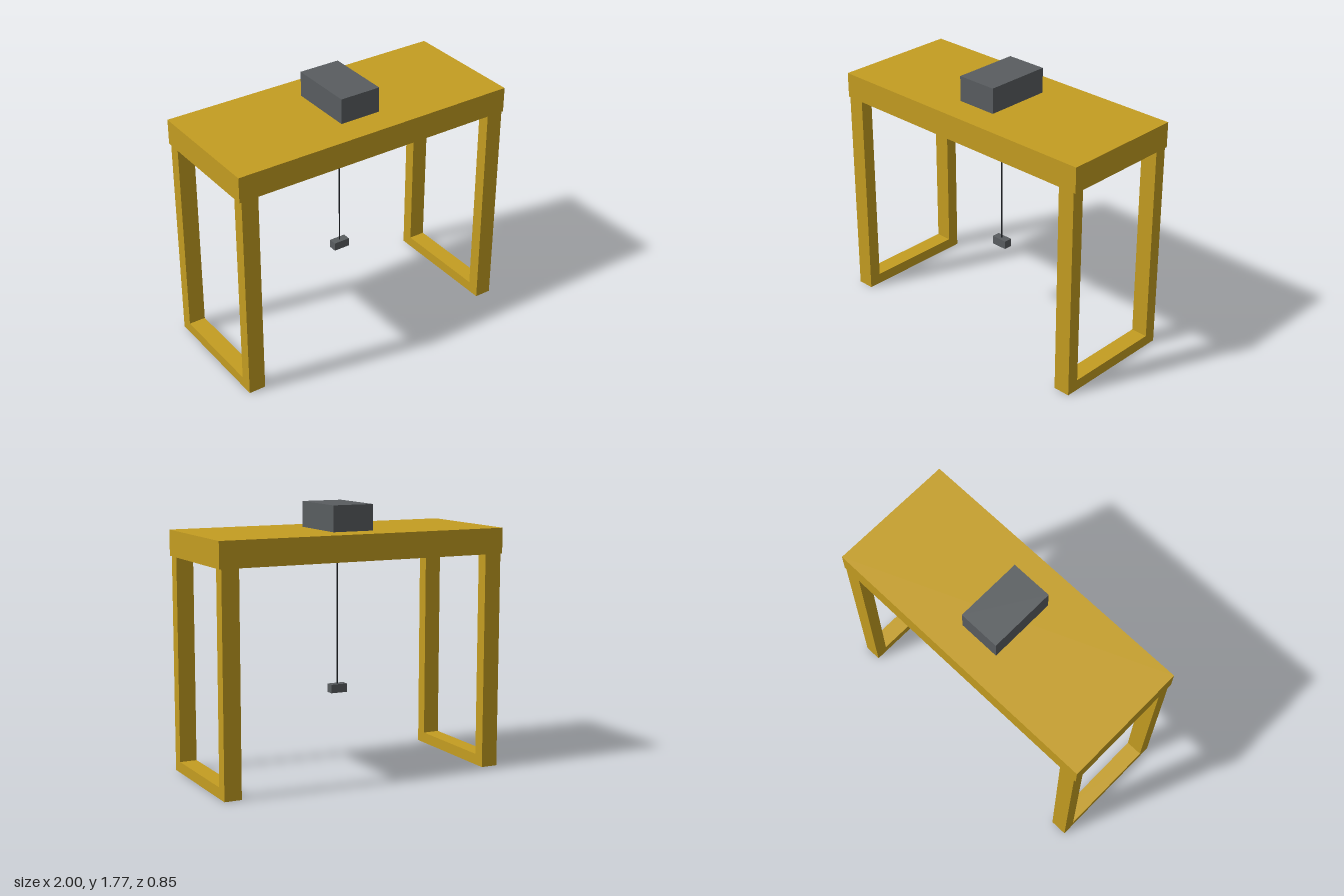
import * as THREE from 'three';

export function createModel() {
  const yellow = new THREE.MeshStandardMaterial({ color: 0xc49d21 });
  yellow.name = 'yellow paint';
  const grey = new THREE.MeshStandardMaterial({ color: 0x595d60 });
  grey.name = 'dark grey metal';
  const black = new THREE.MeshStandardMaterial({ color: 0x1c1f23 });
  black.name = 'black cable';

  const model = new THREE.Group();
  model.name = 'gantryCrane';

  // Box given by its centre in x and z, and its bottom and top heights
  const box = (name, material, parent, x, z, width, depth, bottom, top) => {
    const mesh = new THREE.Mesh(new THREE.BoxGeometry(width, top - bottom, depth), material);
    mesh.position.set(x, (bottom + top) / 2, z);
    mesh.name = name;
    parent.add(mesh);
  };

  // Wide bridge deck
  box('bridge', yellow, model, 0, 0, 2, 0.854, 1.433, 1.603);

  // Portal frame at each end: two legs joined by a sill on the ground
  const legWidth = 0.115, legDepth = 0.083, sillHeight = 0.073;
  for (const side of [1, -1]) {
    const frame = new THREE.Group();
    frame.name = side > 0 ? 'leftFrame' : 'rightFrame';
    frame.position.x = side * 0.929;
    model.add(frame);
    box('frontLeg', yellow, frame, 0, 0.3855, legWidth, legDepth, 0, 1.433);
    box('backLeg', yellow, frame, 0, -0.3855, legWidth, legDepth, 0, 1.433);
    box('sill', yellow, frame, 0, 0, legWidth, 0.688, 0, sillHeight);
  }

  // Trolley on the deck
  box('trolley', grey, model, 0, 0, 0.284, 0.456, 1.603, 1.773);

  // Hoist cable and the block hanging from it
  const cable = new THREE.Mesh(new THREE.CylinderGeometry(0.005, 0.005, 0.86, 8), black);
  cable.position.y = 1.003;
  cable.name = 'hoistCable';
  model.add(cable);
  box('hookBlock', grey, model, 0, 0, 0.114, 0.056, 0.518, 0.575);

  return model;
}
